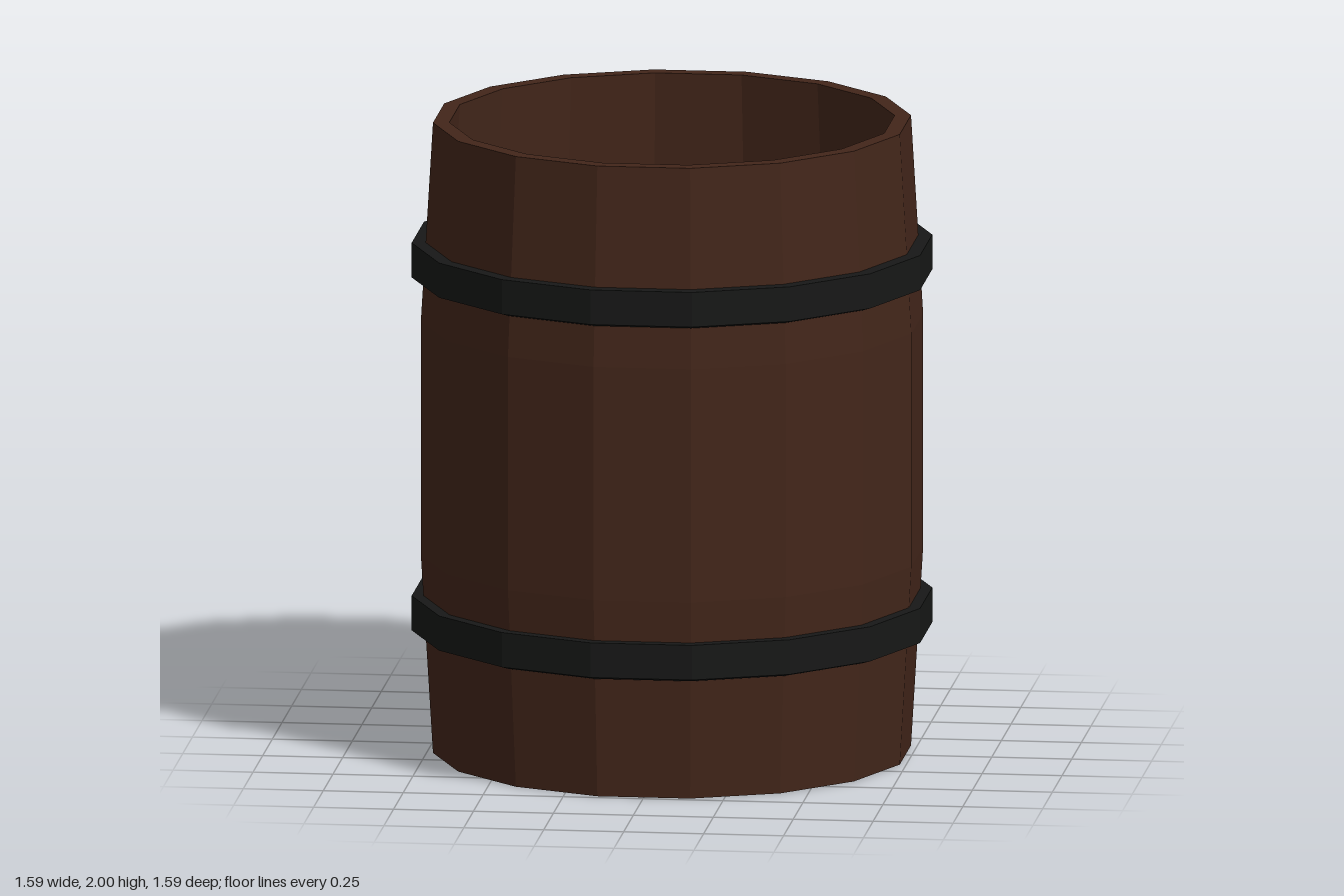
import * as THREE from 'three';

const SIDES = 16;
const CORNER = 1 / Math.cos(Math.PI / SIDES); // flat distance -> corner radius

// Faceted ring or shell from [flat distance, height] pairs, a flat facing front
function faceted(name, profile, color) {
  const points = profile.map(([d, y]) => new THREE.Vector2(d * CORNER, y));
  const geometry = new THREE.LatheGeometry(points, SIDES, Math.PI / SIDES);
  const mesh = new THREE.Mesh(geometry, new THREE.MeshStandardMaterial({ color, flatShading: true }));
  mesh.name = name;
  return mesh;
}

export function createModel() {
  const barrel = new THREE.Group();
  barrel.name = 'barrel';

  // Hollow wooden body: base, bulging outside, rim, inside wall, floor
  barrel.add(faceted('woodenBody', [
    [0, 0], [0.73, 0], [0.767, 0.63], [0.767, 1.37], [0.73, 2],
    [0.68, 2], [0.715, 1.37], [0.715, 0.63], [0.685, 0.06], [0, 0.06],
  ], 0x43261a));

  // Two iron hoops, slightly sloped underneath
  for (const [name, y] of [['lowerHoop', 0.38], ['upperHoop', 1.5]]) {
    barrel.add(faceted(name, [
      [0.74, y], [0.765, y], [0.795, y + 0.01], [0.795, y + 0.12], [0.74, y + 0.12],
    ], 0x171817));
  }

  return barrel;
}
